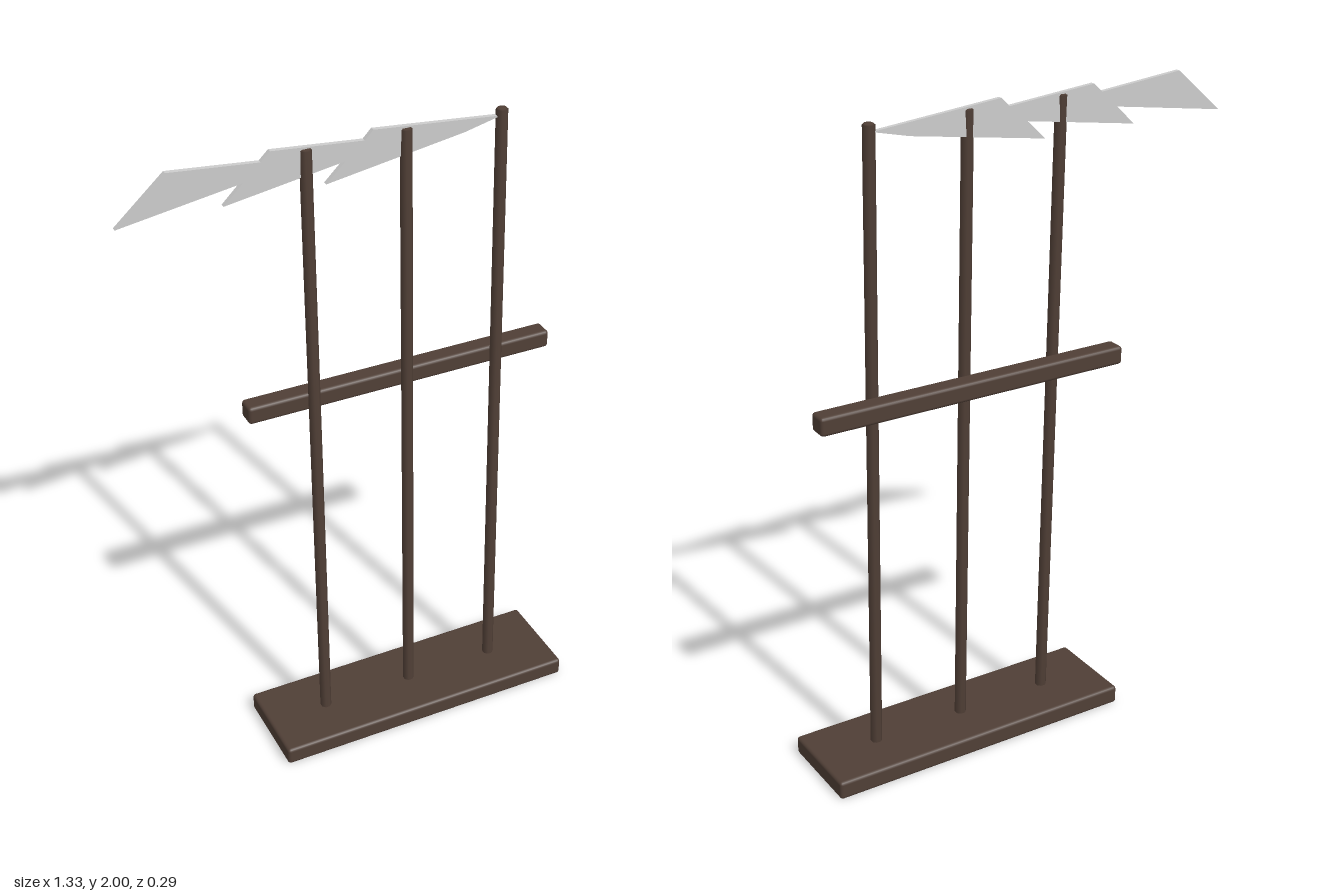
import * as THREE from 'three';
import { RoundedBoxGeometry } from 'three/addons/geometries/RoundedBoxGeometry.js';

export function createModel() {
  const model = new THREE.Group();
  const wood = new THREE.MeshStandardMaterial({ color: 0x503f36 });
  const metal = new THREE.MeshStandardMaterial({ color: 0xcccccc });

  function add(name, geometry, material, x, y, z) {
    const mesh = new THREE.Mesh(geometry, material);
    mesh.name = name;
    mesh.position.set(x, y, z);
    model.add(mesh);
    return mesh;
  }

  // Base board and the cross rail behind the poles
  add('base', new RoundedBoxGeometry(0.986, 0.058, 0.292, 2, 0.01), wood, 0.17, 0.031, 0);
  add('crossRail', new RoundedBoxGeometry(0.986, 0.056, 0.06, 2, 0.01), wood, 0.17, 1.191, -0.097);

  // Three slim octagonal poles with softened ends, leaning back
  const foot = new THREE.Vector3(0, 0.04, 0.001);
  const tip = new THREE.Vector3(0, 1.985, -0.078);
  const length = foot.distanceTo(tip);
  const r = 0.0175;
  const profile = [
    [0, 0], [r - 0.004, 0], [r, 0.004],
    [r, length - 0.004], [r - 0.004, length], [0, length],
  ].map(([x, y]) => new THREE.Vector2(x, y));
  const poleGeometry = new THREE.LatheGeometry(profile, 8, Math.PI / 8);
  const lean = Math.atan2(tip.z - foot.z, tip.y - foot.y);
  for (const x of [-0.128, 0.17, 0.466]) {
    add('pole', poleGeometry, wood, x, foot.y, foot.z).rotation.x = lean;
  }

  // Thin jagged blade running through the pole tops
  const outline = [
    [-0.668, 1.869], [-0.31, 1.925], [-0.367, 1.869], [-0.013, 1.925],
    [-0.07, 1.869], [0.35, 1.936], [0.463, 1.963], [0.07, 2.0],
    [0.045, 1.974], [-0.23, 2.0], [-0.257, 1.974], [-0.522, 2.0],
  ].map(([x, y]) => new THREE.Vector2(x, y));
  const blade = new THREE.ExtrudeGeometry(new THREE.Shape(outline), { depth: 0.014, bevelEnabled: false });
  add('jaggedBlade', blade, metal, 0, 0, -0.088);

  return model;
}
